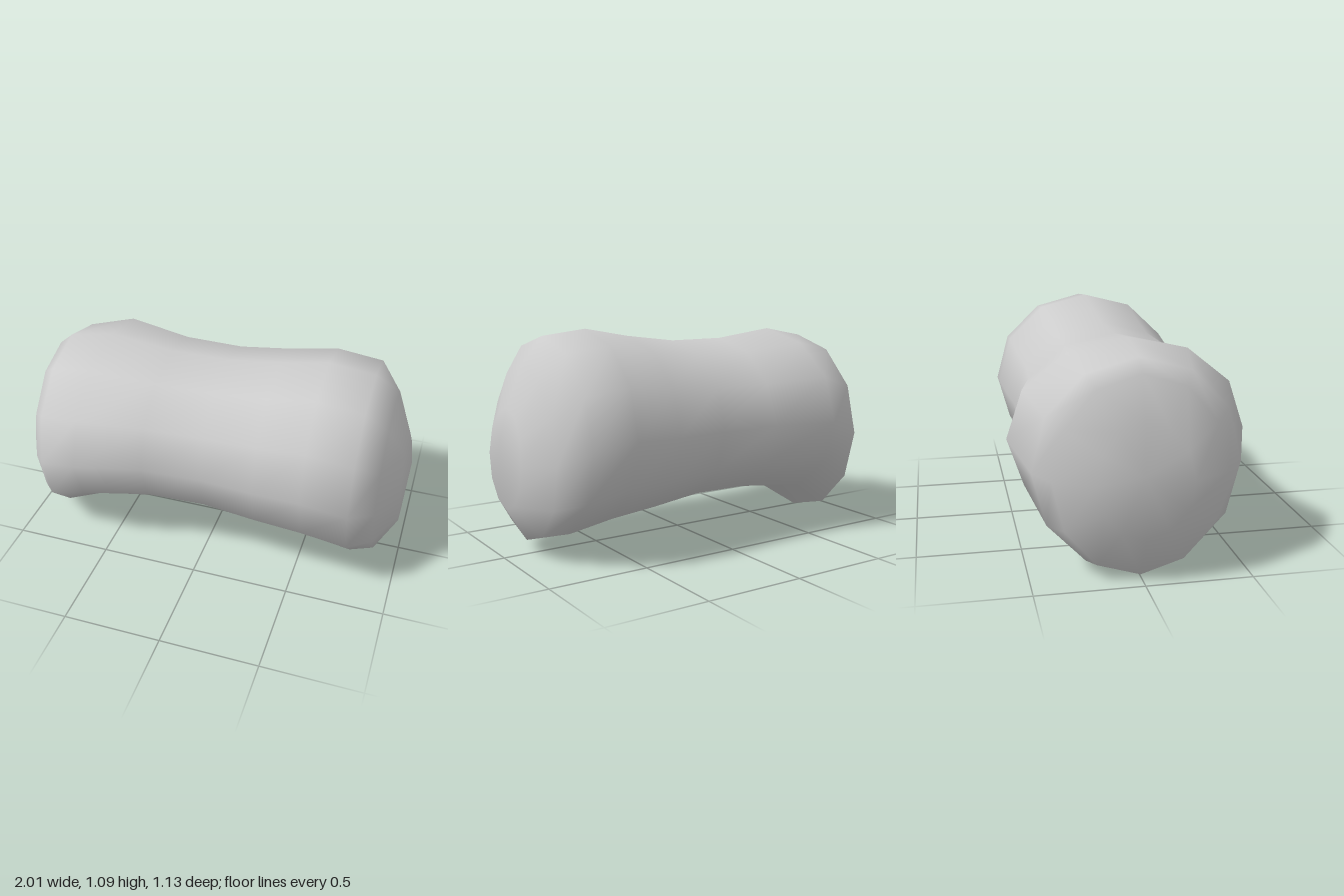
import * as THREE from 'three';

const SIDES = 12;

// Cross-sections along the body: [x at top, x at side, x at bottom, top y, bottom y, half depth]
const RINGS = [
  [-0.96, -1.0, -1.0, 0.74, 0.22, 0.22],
  [-0.9, -0.9, -0.9, 0.94, 0.01, 0.4],
  [-0.83, -0.83, -0.83, 1.0, 0.0, 0.48],
  [-0.6, -0.6, -0.6, 1.045, 0.14, 0.565],
  [-0.27, -0.27, -0.27, 1.005, 0.18, 0.485],
  [0.03, 0.03, 0.03, 1.005, 0.18, 0.47],
  [0.3, 0.3, 0.3, 1.04, 0.145, 0.49],
  [0.54, 0.54, 0.54, 1.085, 0.12, 0.505],
  [0.77, 0.77, 0.77, 1.06, 0.08, 0.5],
  [0.88, 0.88, 0.88, 0.93, 0.07, 0.36],
  [0.96, 0.98, 0.98, 0.73, 0.24, 0.19],
];

// Smooth loft through the rings, closed by a centre point at each end
function loft(rings, startPoint, endPoint) {
  const positions = [];
  const index = [];
  for (const [xTop, xSide, xBottom, top, bottom, depth] of rings) {
    for (let j = 0; j < SIDES; j++) {
      const a = (j / SIDES) * Math.PI * 2;
      const c = Math.cos(a);
      const x = xSide + ((xTop - xBottom) / 2) * c + ((xTop + xBottom) / 2 - xSide) * c * c;
      positions.push(x, (top + bottom) / 2 + ((top - bottom) / 2) * c, depth * Math.sin(a));
    }
  }
  const start = rings.length * SIDES;
  const end = start + 1;
  positions.push(...startPoint, ...endPoint);

  const last = (rings.length - 1) * SIDES;
  for (let j = 0; j < SIDES; j++) {
    const k = (j + 1) % SIDES;
    for (let r = 0; r < last; r += SIDES) {
      index.push(r + j, r + k, r + SIDES + j);
      index.push(r + k, r + SIDES + k, r + SIDES + j);
    }
    index.push(start, k, j);
    index.push(end, last + j, last + k);
  }

  const geometry = new THREE.BufferGeometry();
  geometry.setAttribute('position', new THREE.Float32BufferAttribute(positions, 3));
  geometry.setIndex(index);
  geometry.computeVertexNormals();
  return geometry;
}

export function createModel() {
  const group = new THREE.Group();
  group.name = 'waistedBlock';

  // Waisted body with a slightly dished left end and a domed right end
  const body = new THREE.Mesh(
    loft(RINGS, [-0.975, 0.5, 0], [1, 0.59, 0]),
    new THREE.MeshStandardMaterial({ color: 0xcccccc })
  );
  body.name = 'body';
  group.add(body);
  return group;
}
